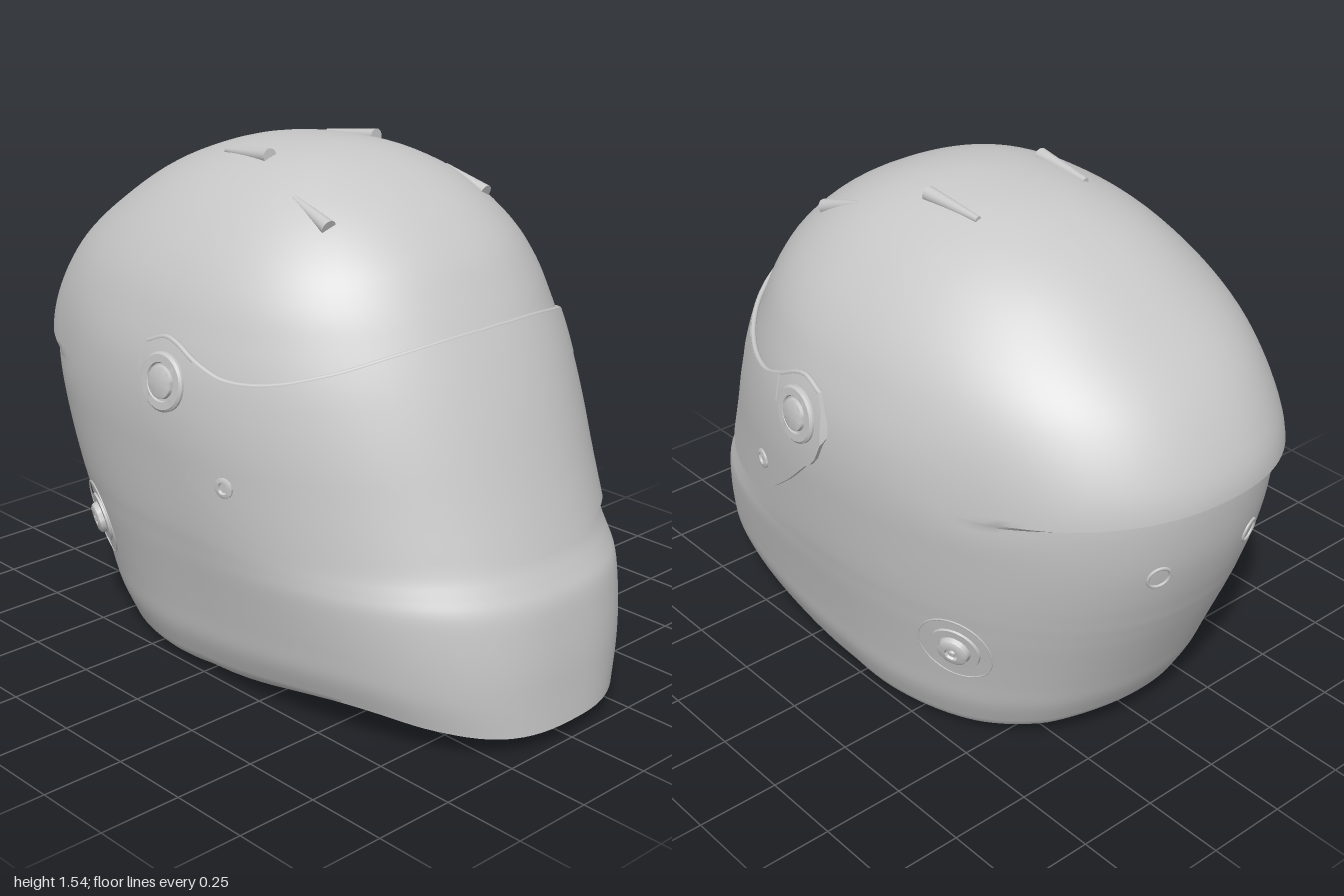
import * as THREE from 'three';
import { toCreasedNormals } from 'three/addons/utils/BufferGeometryUtils.js';

const grey = new THREE.MeshStandardMaterial({ color: 0xc8c8c8 });
grey.name = 'shell grey';

// Horizontal sections: height, front reach, back reach, half width, front squareness
const SECTIONS = [
  [0, 0.995, 0.7, 0.508, 2.6], [0.1, 0.99, 0.745, 0.545, 2.6], [0.2, 0.985, 0.78, 0.563, 2.6],
  [0.3, 0.975, 0.815, 0.581, 2.55], [0.4, 0.96, 0.85, 0.6, 2.45], [0.46, 0.935, 0.87, 0.61, 2.35],
  [0.52, 0.908, 0.89, 0.62, 2.25], [0.6, 0.88, 0.918, 0.63, 2.18], [0.7, 0.845, 0.946, 0.64, 2.12],
  [0.8, 0.81, 0.962, 0.648, 2.08], [0.9, 0.773, 0.968, 0.648, 2.05], [1, 0.73, 0.957, 0.637, 2.05],
  [1.1, 0.68, 0.918, 0.61, 2.08], [1.2, 0.622, 0.832, 0.57, 2.15], [1.3, 0.55, 0.708, 0.505, 2.2],
  [1.4, 0.435, 0.562, 0.408, 2.25], [1.47, 0.31, 0.415, 0.302, 2.25], [1.52, 0.165, 0.245, 0.17, 2.2],
  [1.54, 0, 0, 0, 2],
];
const BACK_SQUARENESS = 2.2;
const TOP = SECTIONS.length - 1;
const smooth = THREE.MathUtils.smoothstep;

function catmull(a, b, c, d, t) {
  return b + 0.5 * t * (c - a + t * (2 * a - 5 * b + 4 * c - d + t * (3 * (b - c) + d - a)));
}

// Section values at row s; the crown is mirrored so that it closes flat
function section(s) {
  const i = Math.min(Math.floor(s), TOP - 1), t = s - i;
  const at = k => k < 0 ? SECTIONS[0] : k > TOP
    ? SECTIONS[TOP - 1].map((v, j) => (j > 0 && j < 4 ? -v : v)) : SECTIONS[k];
  return [0, 1, 2, 3, 4].map(j => catmull(at(i - 1)[j], at(i)[j], at(i + 1)[j], at(i + 2)[j], t));
}

// Smooth interpolation through [key, value] pairs
function lookup(table, x) {
  const last = table.length - 1;
  if (x <= table[0][0]) return table[0][1];
  if (x >= table[last][0]) return table[last][1];
  let i = 0;
  while (table[i + 1][0] < x) i++;
  const v = k => table[Math.max(0, Math.min(last, k))][1];
  const t = (x - table[i][0]) / (table[i + 1][0] - table[i][0]);
  return catmull(v(i - 1), v(i), v(i + 1), v(i + 2), t);
}

// Wavy lower edge, by cosine of the angle from the front
const EDGE = [[-1, 0.09], [-0.85, 0.06], [-0.6, 0.038], [-0.2, 0.036], [0, 0.05],
  [0.3, 0.088], [0.55, 0.1], [0.8, 0.075], [1, 0.05]];

// Point on the shell at angle a (0 = front, toward +z), row s, offset outward
function surf(a, s, off = 0) {
  const [y0, F, B, W, n] = section(s);
  const c = Math.cos(a), d = Math.sin(a);
  const edge = lookup(EDGE, c);
  let y = y0 < 0.5 ? edge + y0 * (1 - edge / 0.5) : y0;
  // overhanging lip round the back
  const lip = smooth(-c, 0.5, 0.85) * smooth(y0, 0.894, 0.906) * (1 - smooth(y0, 0.9, 1.12));
  y -= 0.107 * Math.min(1 + c, 0.42) * smooth(-c, 0.2, 0.6) * Math.exp(-(((y0 - 0.9) / 0.12) ** 2));
  y += off * smooth(y0, 0.9, 1.5);
  const R = Math.max(0, (c > 0 ? F : B) + off + 0.035 * lip);
  const bend = v => Math.sign(v) * Math.abs(v) ** (2 / (c > 0 ? n : BACK_SQUARENESS));
  return new THREE.Vector3(R * bend(c), y, Math.max(0, W + off + 0.012 * lip) * bend(d));
}

function rowAt(a, y) {
  let lo = 0, hi = TOP;
  for (let k = 0; k < 30; k++) {
    const mid = (lo + hi) / 2;
    if (surf(a, mid).y < y) lo = mid; else hi = mid;
  }
  return lo;
}

// Grid surface from fn(column, row)
function grid(cols, rows, fn, closed) {
  const pos = [], idx = [], n = closed ? cols : cols + 1;
  for (let j = 0; j <= rows; j++) for (let i = 0; i < n; i++) pos.push(...fn(i, j).toArray());
  for (let j = 0; j < rows; j++) for (let i = 0; i < cols; i++) {
    const a = j * n + i, b = j * n + (i + 1) % n;
    idx.push(a, a + n, b, b, a + n, b + n);
  }
  const g = new THREE.BufferGeometry();
  g.setAttribute('position', new THREE.Float32BufferAttribute(pos, 3));
  g.setIndex(idx);
  return toCreasedNormals(g, 0.6);
}

function add(parent, name, geometry) {
  const m = new THREE.Mesh(geometry, grey);
  m.name = name;
  parent.add(m);
  return m;
}

// Group standing on the shell at (x, y) on one side, its y axis pointing outward
function mount(parent, name, x, y, side) {
  let a = Math.PI / 2;
  for (let k = 0; k < 6; k++) {
    const [, F, B, , n] = section(rowAt(a, y));
    const q = Math.min(1, Math.abs(x) / (x > 0 ? F : B));
    a = Math.acos(Math.sign(x) * q ** ((x > 0 ? n : BACK_SQUARENESS) / 2));
  }
  a *= side;
  const s = rowAt(a, y), e = 0.02;
  const up = surf(a, s + e).sub(surf(a, s - e));
  const normal = up.cross(surf(a + e, s).sub(surf(a - e, s))).normalize();
  const g = new THREE.Group();
  g.name = name;
  g.position.copy(surf(a, s));
  g.quaternion.setFromUnitVectors(new THREE.Vector3(0, 1, 0), normal);
  parent.add(g);
  return g;
}

const turned = pts => toCreasedNormals(
  new THREE.LatheGeometry(pts.map(p => new THREE.Vector2(...p)), 32), 0.6);
const ring = (r, t) => new THREE.TorusGeometry(r, t, 8, 40).rotateX(Math.PI / 2);

// Visor outline by angle in degrees from the front
const VISOR_TOP = [[0, 1.12], [15, 1.112], [31, 1.083], [47, 1.037], [62, 1.0], [72, 1.0],
  [80.5, 1.04], [87, 1.075], [92, 1.05], [94.3, 0.96]];
const VISOR_LOW = [[0, 0.53], [11, 0.53], [19, 0.56], [40, 0.552], [53, 0.538], [67, 0.55],
  [74, 0.59], [83, 0.7], [91.5, 0.83], [94.3, 0.94]];
const BAND_LOW = [[0, 0.995], [30, 0.965], [50, 0.91], [64, 0.888], [73, 0.925], [80, 0.95]];

// Curved sheet lying on the shell between two outlines, edges turned in
function sheet(low, top, reach, height) {
  const cols = 160, rows = 18;
  return grid(cols, rows, (i, j) => {
    const deg = reach * (2 * i / cols - 1), a = deg * Math.PI / 180;
    const t = THREE.MathUtils.clamp((j - 1) / (rows - 2), 0, 1);
    const y = THREE.MathUtils.lerp(lookup(low, Math.abs(deg)), lookup(top, Math.abs(deg)), t);
    const rim = j === 0 || j === rows || i === 0 || i === cols;
    return surf(a, rowAt(a, y), rim ? -0.004 : height);
  }, false);
}

export function createModel() {
  const model = new THREE.Group();
  model.name = 'helmet';

  // Shell: lining from the crown down, rolled rim, then the outside up to the crown
  const steps = [];
  for (let s = TOP; s >= 0; s -= 0.5) steps.push([s, -0.085, 0]);
  steps.push([0, -0.08, -0.018], [0, -0.064, -0.036], [0, -0.04, -0.034], [0, -0.014, -0.014]);
  for (let s = 0; s <= TOP; s += 0.25) {
    if (s === 10) steps.push([9.93, 0, 0]);
    steps.push([s, 0, 0]);
    if (s === 10) steps.push([10.07, 0, 0]);
  }
  add(model, 'shell', grid(128, steps.length - 1, (i, j) => {
    const a = i / 128 * Math.PI * 2;
    const p = surf(a, steps[j][0], steps[j][1]);
    p.y += steps[j][2] * (1 - 0.75 * smooth(Math.cos(a), 0.1, 0.8)); // rim is shallow at the chin
    return p;
  }, true));

  // Visor, its upper band and the bead along its top edge
  add(model, 'visor', sheet(VISOR_LOW, VISOR_TOP, 94.3, 0.013));
  add(model, 'visorBand', sheet(BAND_LOW, VISOR_TOP, 80, 0.015));
  const bead = [];
  for (let d = -92; d <= 92; d += 4) {
    const a = d * Math.PI / 180;
    bead.push(surf(a, rowAt(a, lookup(VISOR_TOP, Math.abs(d))), 0.007));
  }
  add(model, 'visorBead', new THREE.TubeGeometry(new THREE.CatmullRomCurve3(bead), 120, 0.008, 8));

  for (const side of [1, -1]) {
    // Visor pivot knob
    const pivot = mount(model, 'visorPivot', 0.04, 0.955, side);
    add(pivot, 'pivotKnob', turned([[0.085, -0.02], [0.085, 0.016], [0.078, 0.022], [0.056, 0.022],
      [0.053, 0.016], [0.048, 0.016], [0.046, 0.026], [0.038, 0.029], [0, 0.029]]));

    // Small visor stud
    const stud = mount(model, 'visorStud', 0.26, 0.7, side);
    add(stud, 'studHead', turned([[0.03, -0.01], [0.03, 0.018], [0.024, 0.021], [0.017, 0.021],
      [0.014, 0.014], [0, 0.014]]));

    // Strap anchor with its rings, and the cap inside
    const anchor = mount(model, 'strapAnchor', -0.465, 0.36, side);
    add(anchor, 'anchorOuterRing', ring(0.116, 0.0025));
    add(anchor, 'anchorBoss', turned([[0.08, -0.01], [0.076, 0.005], [0.05, 0.005], [0.046, 0.02],
      [0.038, 0.025], [0.022, 0.025], [0.018, 0.018], [0.01, 0.018], [0.008, 0.025], [0, 0.025]]));
    const cap = add(anchor, 'anchorInnerCap', new THREE.SphereGeometry(0.118, 32, 16));
    cap.scale.y = 0.4;
    cap.position.y = -0.095;

    // Rear exhaust port
    const port = mount(model, 'exhaustPort', -0.918, 0.69, side);
    add(port, 'portRim', ring(0.034, 0.005));

    // Roof vents: tapered scoops with a flat front end
    for (const [front, back] of [
      [[-0.01, 1.512, 0.21], [-0.21, 1.498, 0.2]],
      [[0.34, 1.385, 0.31], [0.19, 1.44, 0.3]],
    ]) {
      const f = new THREE.Vector3(front[0], front[1], front[2] * side);
      const b = new THREE.Vector3(back[0], back[1], back[2] * side);
      const vent = add(model, 'roofVent', new THREE.CylinderGeometry(0.023, 0.01, f.distanceTo(b), 16));
      vent.position.copy(f).add(b).multiplyScalar(0.5);
      vent.quaternion.setFromUnitVectors(new THREE.Vector3(0, 1, 0), f.clone().sub(b).normalize());
    }
  }
  return model;
}
